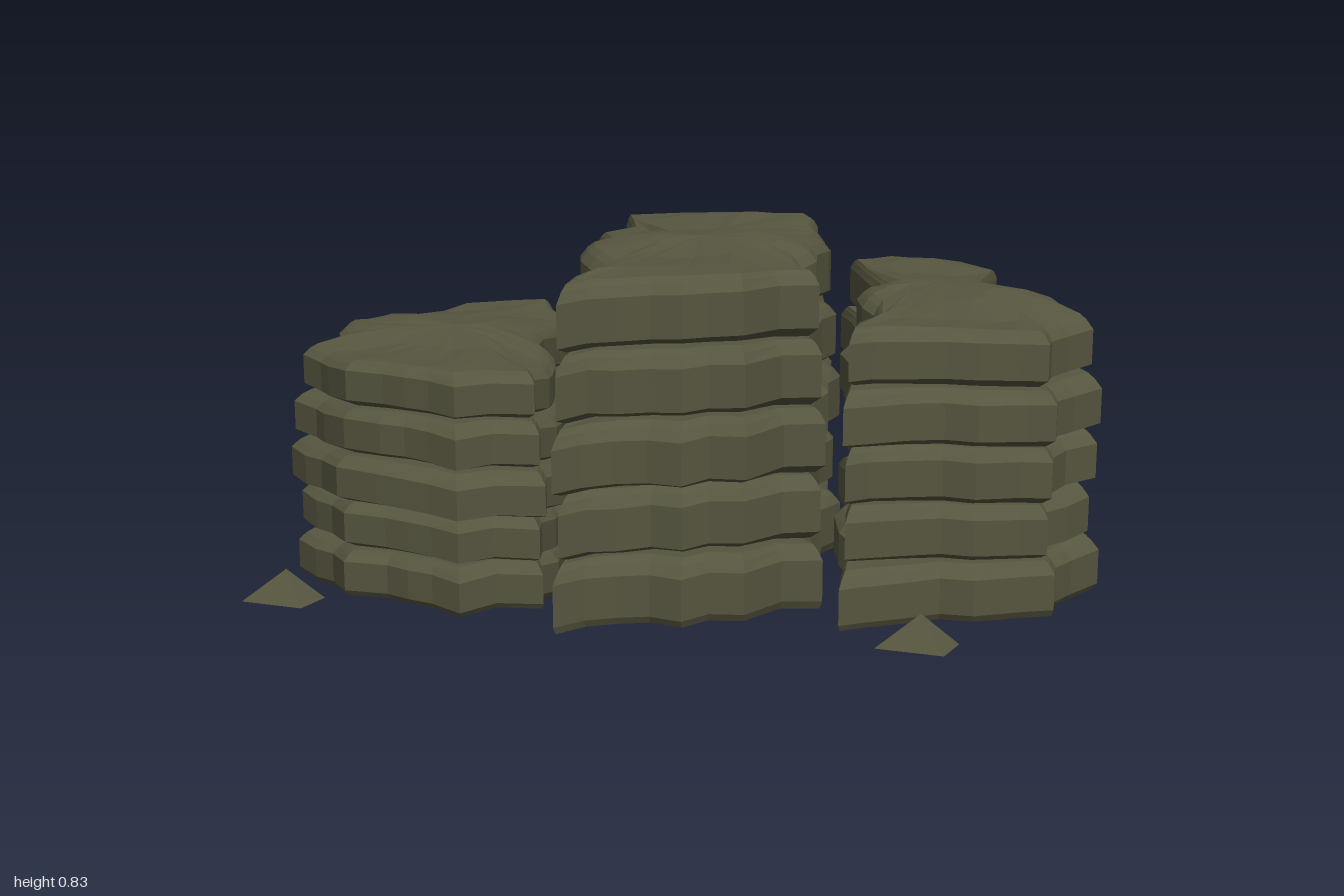
import * as THREE from 'three';

const rock = new THREE.MeshStandardMaterial({ color: 0x56553f, flatShading: true });
rock.name = 'mossy stone';

// Main outline corners, anticlockwise seen from above
const leftOutline = [
  [-0.41, -0.52], [-0.5, -0.5], [-0.64, -0.46], [-0.7, -0.38], [-0.79, -0.32], [-0.88, -0.21], [-0.92, -0.08],
  [-0.9, 0.08], [-0.96, 0.2], [-0.85, 0.33], [-0.78, 0.43], [-0.61, 0.49], [-0.47, 0.56], [-0.39, 0.5],
  [-0.28, 0.49], [-0.29, 0.4], [-0.26, 0.27], [-0.27, 0.13], [-0.32, 0.02], [-0.31, -0.22], [-0.34, -0.4],
];
const middleOutline = [
  [0, -0.6], [-0.24, -0.55], [-0.21, -0.41], [-0.29, -0.35], [-0.28, -0.16], [-0.3, 0.04], [-0.22, 0.2],
  [-0.24, 0.4], [-0.25, 0.6], [-0.12, 0.55], [0.03, 0.55], [0.17, 0.52], [0.25, 0.42], [0.34, 0.4], [0.31, 0.27],
  [0.33, 0.08], [0.36, -0.09], [0.32, -0.24], [0.31, -0.4], [0.28, -0.53], [0.19, -0.53], [0.13, -0.6], [0.06, -0.58],
];
const rightOutline = [
  [0.35, -0.5], [0.42, -0.24], [0.39, -0.13], [0.36, 0], [0.41, 0.16], [0.41, 0.35], [0.38, 0.55], [0.52, 0.5],
  [0.68, 0.47], [0.86, 0.38], [0.87, 0.28], [0.92, 0.22], [0.99, 0.15], [0.94, 0.07], [0.94, -0.01],
  [0.81, -0.11], [0.75, -0.22], [0.78, -0.29], [0.74, -0.37], [0.77, -0.47], [0.67, -0.54], [0.59, -0.59], [0.46, -0.58],
];

// grow moves the edge of each slab, bottom to top, outward or inward
const stacks = [
  { name: 'leftStack', corners: leftOutline, center: [-0.58, 0.05], step: 0.112, dome: 0.03, tilt: -0.035,
    grow: [-0.025, -0.03, 0, -0.025, -0.045] },
  { name: 'middleStack', corners: middleOutline, center: [0.02, 0], step: 0.157, dome: 0.028, tilt: 0.03,
    grow: [0, -0.015, 0.005, -0.015, -0.03] },
  { name: 'rightStack', corners: rightOutline, center: [0.6, -0.08], step: 0.134, dome: 0.028, tilt: -0.04,
    grow: [0.003, -0.03, -0.025, -0.008, -0.04] },
];

function seeded(seed) {
  return () => {
    seed = (seed * 16807) % 2147483647;
    return seed / 2147483647;
  };
}

// Break long outline edges with a small jag at the middle
function jagged(corners, random) {
  return corners.flatMap(([x, z], i) => {
    const [nx, nz] = corners[(i + 1) % corners.length];
    const dx = nx - x, dz = nz - z;
    const length = Math.hypot(dx, dz);
    if (length < 0.13) return [[x, z]];
    const t = 0.35 + random() * 0.3;
    const out = (random() - 0.5) * 0.035 / length;
    return [[x, z], [x + dx * t - dz * out, z + dz * t + dx * out]];
  });
}

// Closed solid skinned over equal rings of points, with a fan at each end
function skin(rings, bottom, top) {
  const n = rings[0].length;
  const low = rings.length * n, last = low - n;
  const index = [];
  for (let i = 0; i < n; i++) {
    const j = (i + 1) % n;
    for (let r = 0; r < last; r += n) {
      index.push(r + i, r + j, r + j + n, r + i, r + j + n, r + i + n);
    }
    index.push(low, j, i, low + 1, last + i, last + j);
  }
  const geometry = new THREE.BufferGeometry();
  geometry.setAttribute('position', new THREE.Float32BufferAttribute([...rings.flat(), bottom, top].flat(), 3));
  geometry.setIndex(index);
  geometry.computeVertexNormals();
  return geometry;
}

// One slab of a stack: undercut foot, upright wall, worn upper edge
function slab(stack, outline, level, random) {
  const [cx, cz] = stack.center;
  const h = stack.step;
  const y0 = 0.016 + level * h;
  const wave = (x, z) => 0.012 * Math.cos(z * 13.4) + stack.tilt * (x - cx) * (level ? 1 : 0.2);
  const edge = outline.map(([x, z]) => {
    const d = Math.hypot(x - cx, z - cz);
    const s = 1 + (stack.grow[level] + (random() - 0.6) * 0.02) / d;
    return [(x - cx) * s, (z - cz) * s, d];
  });
  const ring = (inset, up, scale = 1, bump = 0) => edge.map(([x, z, d]) => {
    const s = (1 - inset / d) * scale;
    const px = cx + x * s, pz = cz + z * s;
    return [px, Math.max(0, y0 + up + wave(px, pz) + (random() - 0.5) * bump), pz];
  });
  const rings = [
    ring(level ? 0.04 : 0.01, 0), ring(0, h * 0.12), ring(0, h * 0.74),
    ring(0.02, h * 0.88), ring(0.04, h * 0.96),
  ];
  let crown = h * 0.96;
  if (level === 4) {
    // Gently domed, uneven summit
    rings.push(ring(0.04, crown + stack.dome * 0.4, 0.78, 0.008), ring(0.04, crown + stack.dome * 0.75, 0.45, 0.006));
    crown += stack.dome;
  }
  const mesh = new THREE.Mesh(skin(rings, [cx, y0, cz], [cx, y0 + crown, cz]), rock);
  mesh.name = `${stack.name}Slab${level + 1}`;
  return mesh;
}

export function createModel() {
  const model = new THREE.Group();
  model.name = 'layeredRocks';

  // Three stacks of five slabs
  stacks.forEach((stack, s) => {
    const random = seeded(101 + s * 977);
    const outline = jagged(stack.corners, random);
    const group = new THREE.Group();
    group.name = stack.name;
    for (let level = 0; level < 5; level++) group.add(slab(stack, outline, level, random));
    model.add(group);
  });

  // Four loose pyramid stones around the base
  const base = [[-0.04, 0, -0.07], [-0.09, 0, 0.03], [0.06, 0, 0.065], [0.095, 0, -0.015]];
  const stone = skin([base], [0, 0, 0], [0.01, 0.073, 0]);
  [[-0.525, -0.6], [0.9, -0.24], [-0.915, 0.43], [0.55, 0.605]].forEach(([x, z], i) => {
    const mesh = new THREE.Mesh(stone, rock);
    mesh.name = `looseStone${i + 1}`;
    mesh.position.set(x, 0.02, z);
    model.add(mesh);
  });

  return model;
}
